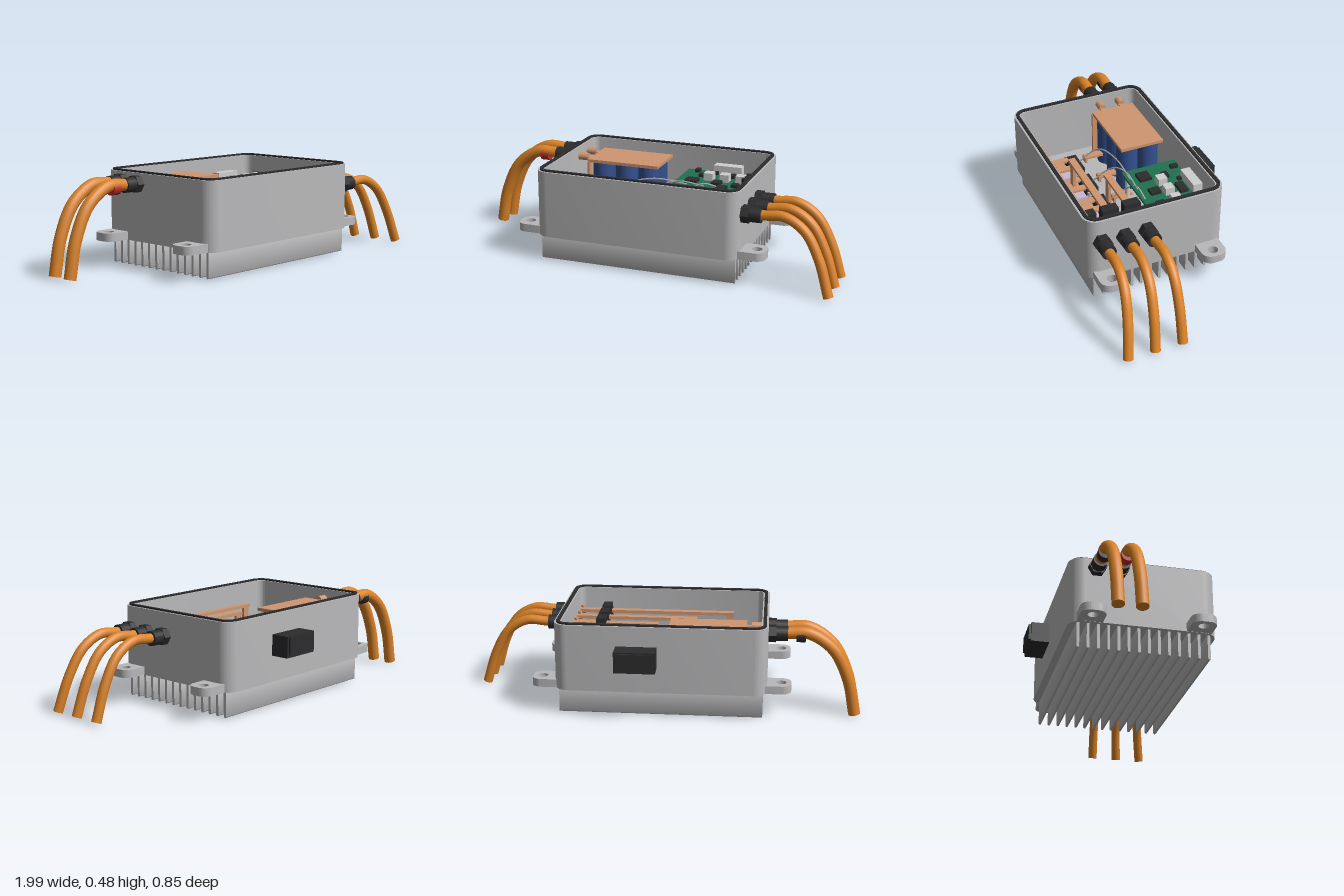
import * as THREE from 'three';
import { toCreasedNormals } from 'three/addons/utils/BufferGeometryUtils.js';

const paint = (name, color, side = THREE.FrontSide) => {
  const m = new THREE.MeshStandardMaterial({ color, side });
  m.name = name;
  return m;
};

export function createModel() {
  const alu = paint('castAluminium', 0xb9b9bb), black = paint('blackPlastic', 0x2c2c2e);
  const orange = paint('orangeSheath', 0xdb8328), copper = paint('copper', 0xcf9670);
  const green = paint('boardGreen', 0x1f7050), blue = paint('capacitorBlue', 0x34508f);
  const red = paint('redBand', 0xc22c2c), ceramic = paint('paleCeramic', 0xc9b8d6);
  const pale = paint('paleGrey', 0xcfcfcf);

  const root = new THREE.Group();
  root.name = 'powerInverter';
  const group = (name) => {
    const g = new THREE.Group();
    g.name = name;
    root.add(g);
    return g;
  };
  const add = (parent, name, geo, mat, x = 0, y = 0, z = 0) => {
    const m = new THREE.Mesh(geo, mat);
    m.name = name;
    m.position.set(x, y, z);
    parent.add(m);
    return m;
  };
  const box = (p, name, mat, w, h, d, x, y, z) => add(p, name, new THREE.BoxGeometry(w, h, d), mat, x, y, z);
  // cylinder standing on y, or lying along x
  const rod = (p, name, mat, r, len, x, y, z, along = 'y', sides = 24) => {
    const geo = new THREE.CylinderGeometry(r, r, len, sides);
    if (along === 'x') geo.rotateZ(Math.PI / 2);
    return add(p, name, sides < 8 ? toCreasedNormals(geo, 0.5) : geo, mat, x, y, z);
  };
  const roundRect = (w, d, r, S = THREE.Shape) => {
    const s = new S(), a = w / 2 - r, b = d / 2 - r;
    s.absarc(a, b, r, 0, Math.PI / 2);
    s.absarc(-a, b, r, Math.PI / 2, Math.PI);
    s.absarc(-a, -b, r, Math.PI, Math.PI * 1.5);
    s.absarc(a, -b, r, Math.PI * 1.5, Math.PI * 2);
    s.closePath();
    return s;
  };
  const extrude = (shape, depth) => toCreasedNormals(
    new THREE.ExtrudeGeometry(shape, { depth, bevelEnabled: false, curveSegments: 10 }), 0.6);
  const slab = (shape, h) => extrude(shape, h).rotateX(-Math.PI / 2);
  const frame = (w, d, r, t) => {
    const s = roundRect(w, d, r);
    s.holes.push(roundRect(w - 2 * t, d - 2 * t, r - t, THREE.Path));
    return s;
  };

  // Open housing with floor and lid gasket
  const housing = group('housing');
  add(housing, 'walls', slab(frame(1.06, 0.73, 0.07, 0.034), 0.339), alu, 0, 0.133, 0.05);
  add(housing, 'floor', slab(roundRect(1.05, 0.72, 0.065), 0.022), alu, 0, 0.134, 0.05);
  add(housing, 'gasket', slab(frame(1.04, 0.71, 0.06, 0.017), 0.01), black, 0, 0.47, 0.05);

  // Mounting ears, each with a bolt hole
  const ear = new THREE.Shape();
  ear.moveTo(0.51, -0.063);
  ear.absarc(0.602, -0.015, 0.048, -Math.PI / 2, 0);
  ear.absarc(0.602, 0.015, 0.048, 0, Math.PI / 2);
  ear.lineTo(0.51, 0.063);
  ear.lineTo(0.51, -0.063);
  const hole = new THREE.Path();
  hole.absarc(0.6, 0, 0.026, 0, Math.PI * 2);
  ear.holes.push(hole);
  for (const z of [-0.217, 0.32]) for (const turn of [0, Math.PI])
    add(housing, 'mountingEar', slab(ear, 0.041), alu, 0, 0.134, z).rotation.y = turn;

  // Cooling fins below the floor
  const fins = group('heatSink');
  const finGeo = extrude(roundRect(0.014, 0.135, 0.0065), 1.02).rotateY(Math.PI / 2);
  for (let i = 0; i < 14; i++) add(fins, 'fin', finGeo, alu, -0.51, 0.0725, 0.373 - i * 0.0495);

  // Signal connector on the back
  const plug = group('signalConnector');
  box(plug, 'connectorBody', black, 0.204, 0.106, 0.1, 0.115, 0.318, -0.36);
  box(plug, 'connectorLip', black, 0.18, 0.086, 0.014, 0.115, 0.322, -0.414);

  // Cable with a closed end
  const cable = (p, pts, r) => {
    const curve = new THREE.CatmullRomCurve3(pts.map((q) => new THREE.Vector3(...q)));
    add(p, 'cable', new THREE.TubeGeometry(curve, 40, r, 16), orange);
    const end = curve.getPoint(1), cap = add(p, 'cableEnd', new THREE.CircleGeometry(r, 16), orange);
    cap.position.copy(end);
    cap.lookAt(end.clone().add(curve.getTangent(1)));
  };
  const gland = (p, side, y, z) => {
    rod(p, 'glandNut', black, 0.045, 0.04, side * 0.548, y, z, 'x', 6).geometry.rotateX(0);
    rod(p, 'glandBody', black, 0.037, 0.07, side * 0.59, y, z, 'x');
  };

  // Three phase outputs: cable, gland, busbar, current sensor, riser
  const phases = group('phaseOutputs');
  [[0.11, 0.122, 0.065], [0.225, 0.262, -0.13], [0.342, 0.4, -0.32]].forEach(([z, zEnd, x0]) => {
    const bend = (t) => z + (zEnd - z) * t;
    gland(phases, 1, 0.355, z);
    cable(phases, [[0.54, 0.355, z], [0.64, 0.358, bend(0.02)], [0.74, 0.362, bend(0.1)],
      [0.84, 0.305, bend(0.3)], [0.915, 0.18, bend(0.6)], [0.972, 0.008, zEnd]], 0.0245);
    box(phases, 'busbar', copper, 0.49 - x0 + 0.02, 0.016, 0.036, (0.49 + x0 - 0.02) / 2, 0.355, z);
    rod(phases, 'busbarLug', copper, 0.018, 0.04, 0.485, 0.355, z, 'x');
    rod(phases, 'lugBolt', copper, 0.011, 0.02, 0.478, 0.372, z);
    box(phases, 'currentSensor', black, 0.048, 0.075, 0.085, 0.345, 0.355, z);
    box(phases, 'busbarRiser', copper, 0.036, 0.16, 0.016, x0, 0.277, z);
  });

  // Two supply inputs: cable, gland, polarity band, stud
  const supply = group('supplyInputs');
  [[-0.075, red], [-0.185, black]].forEach(([z, band]) => {
    gland(supply, -1, 0.42, z);
    cable(supply, [[-0.54, 0.42, z], [-0.64, 0.424, z], [-0.73, 0.424, z],
      [-0.85, 0.345, z], [-0.93, 0.19, z], [-0.969, 0.008, z]], 0.03);
    rod(supply, 'polarityBand', band, 0.032, 0.045, -0.69, 0.411, z, 'x');
    rod(supply, 'supplyStud', copper, 0.02, 0.06, -0.475, 0.42, z, 'x');
    box(supply, 'supplyStrap', copper, 0.05, 0.012, 0.03, -0.435, 0.415, z);
  });

  // Capacitor bank beneath a copper plate
  const bank = group('capacitorBank');
  box(bank, 'topPlate', copper, 0.39, 0.016, 0.235, -0.225, 0.42, -0.122);
  for (let i = 0; i < 3; i++) for (let j = 0; j < 2; j++)
    rod(bank, 'capacitor', blue, 0.056, 0.256, -0.352 + i * 0.127, 0.284, -0.18 + j * 0.116);
  box(bank, 'sideStrap', copper, 0.012, 0.26, 0.04, -0.414, 0.285, -0.02);

  // Half-bridge modules with copper terminals
  const modules = group('powerModules');
  const modX = [-0.32, -0.13, 0.065];
  modX.forEach((x) => {
    box(modules, 'substrate', ceramic, 0.145, 0.014, 0.22, x, 0.162, 0.235);
    box(modules, 'upperSwitch', black, 0.132, 0.04, 0.068, x, 0.186, 0.145);
    box(modules, 'lowerSwitch', black, 0.132, 0.04, 0.06, x, 0.186, 0.295);
    for (const s of [-1, 1]) {
      box(modules, 'terminal', copper, 0.037, 0.012, 0.16, x + s * 0.038, 0.204, 0.245);
      for (const z of [0.16, 0.3]) rod(modules, 'screw', pale, 0.013, 0.03, x + s * 0.068, 0.175, z, 'y', 12);
    }
    box(modules, 'crossTerminal', copper, 0.11, 0.012, 0.05, x, 0.203, 0.225);
    box(modules, 'inputStrap', copper, 0.04, 0.012, 0.1, x, 0.225, 0.035);
    box(modules, 'inputStrapFoot', copper, 0.04, 0.03, 0.012, x, 0.213, 0.082);
  });

  // Control board on posts
  const board = group('controlBoard');
  const top = 0.353;
  box(board, 'circuitBoard', green, 0.41, 0.014, 0.295, 0.26, top - 0.007, -0.115);
  for (const x of [0.08, 0.44]) for (const z of [-0.24, 0.01])
    rod(board, 'boardPost', pale, 0.012, 0.19, x, 0.245, z, 'y', 12);
  [[0.142, -0.05, 0.064, 0.064], [0.297, -0.187, 0.075, 0.042], [0.117, -0.23, 0.024, 0.04],
    [0.17, -0.155, 0.042, 0.034], [0.275, -0.05, 0.046, 0.054], [0.378, -0.037, 0.034, 0.042],
    [0.405, -0.182, 0.02, 0.034], [0.225, -0.21, 0.02, 0.02]].forEach(([x, z, w, d]) =>
    box(board, 'chip', black, w, 0.016, d, x, top + 0.008, z));
  for (let i = 0; i < 3; i++) {
    box(board, 'transformer', pale, 0.048, 0.04, 0.048, 0.217 + i * 0.085, top + 0.02, -0.113);
    rod(board, 'boardCapacitor', black, 0.016, 0.04, 0.418, top + 0.02, -0.15 + i * 0.038, 'y', 16);
  }
  box(board, 'boardHeader', pale, 0.15, 0.045, 0.05, 0.28, top + 0.022, -0.25);

  // Gate wires from the board to each module
  const wires = group('gateWires');
  modX.forEach((x, i) => {
    const xs = 0.14 + i * 0.09;
    const path = new THREE.CatmullRomCurve3([
      new THREE.Vector3(xs, 0.36, 0.02), new THREE.Vector3(xs * 0.6 + x * 0.4, 0.37, 0.02),
      new THREE.Vector3(x + 0.06, 0.3, 0.04), new THREE.Vector3(x, 0.205, 0.115)]);
    add(wires, 'gateWire', new THREE.TubeGeometry(path, 24, 0.004, 6), alu);
  });

  return root;
}
